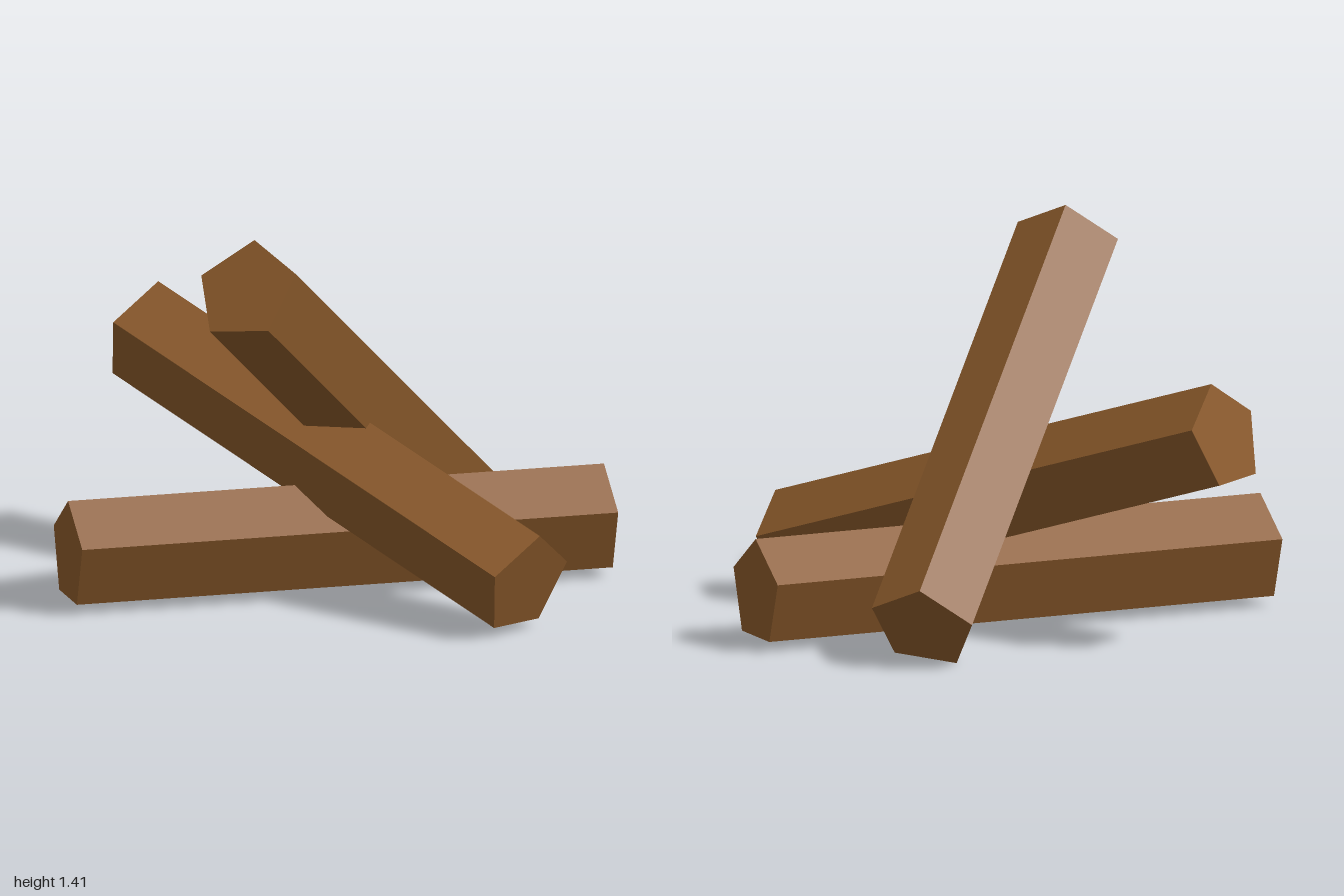
import * as THREE from 'three';

const RADIUS = 0.195;

// Five-sided log between two end centres, with one ridge pointing along `ridge`
function makeLog(name, start, end, ridge, material) {
  const a = new THREE.Vector3(...start);
  const b = new THREE.Vector3(...end);
  const axis = b.clone().sub(a);
  const geometry = new THREE.CylinderGeometry(RADIUS, RADIUS, axis.length(), 5);
  axis.normalize();
  const up = new THREE.Vector3(...ridge).projectOnPlane(axis).normalize();
  const side = axis.clone().cross(up);

  const log = new THREE.Mesh(geometry, material);
  log.name = name;
  log.quaternion.setFromRotationMatrix(new THREE.Matrix4().makeBasis(side, axis, up));
  log.position.addVectors(a, b).multiplyScalar(0.5);
  return log;
}

export function createModel() {
  const group = new THREE.Group();
  group.name = 'logPile';
  const wood = new THREE.MeshStandardMaterial({ color: 0x8b5a2b, flatShading: true });

  group.add(
    // Log lying flat across the ground
    makeLog('groundLog', [-0.605, 0.204, 0.853], [0.605, 0.204, -0.715], [0, 1, 0], wood),
    // Log leaning across it from side to side
    makeLog('middleLog', [-0.936, 0.793, -0.057], [0.939, 0.193, 0.198], [0.056, 0.187, 0.002], wood),
    // Steep log resting on top, raised at the front
    makeLog('topLog', [0.112, 1.26, 0.759], [-0.093, 0.15, -0.771], [-0.042, 0.16, -0.104], wood),
  );
  return group;
}
